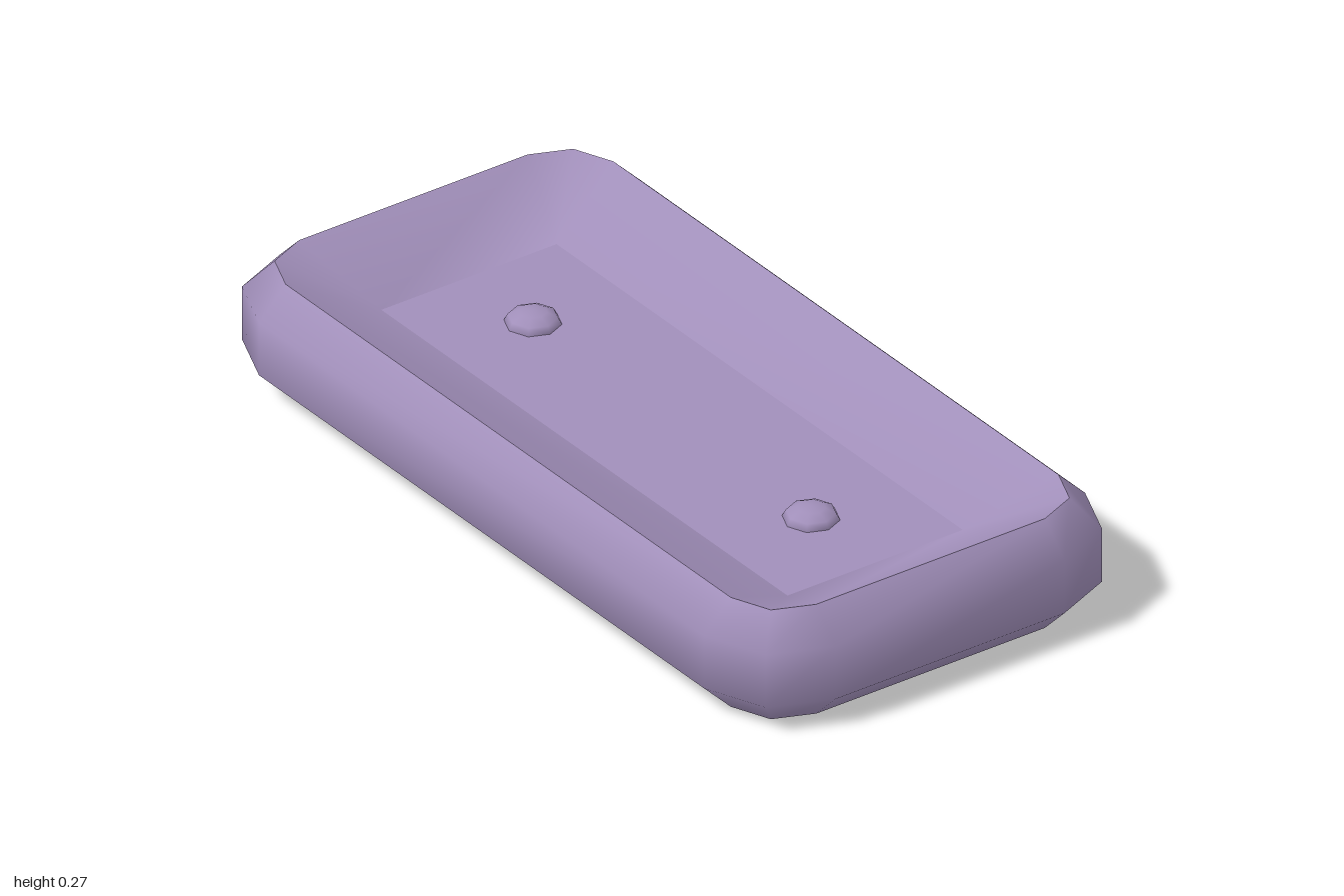
import * as THREE from 'three';
import { mergeVertices } from 'three/addons/utils/BufferGeometryUtils.js';

// Rounded-rectangle outline: corner centres at (cx, cz), two facets per corner
function outline(cx, cz, r) {
  const pts = [];
  for (let q = 0; q < 4; q++) {
    const sx = q === 0 || q === 3 ? 1 : -1;
    const sz = q < 2 ? 1 : -1;
    for (let k = 0; k <= 2; k++) {
      const a = (q * 2 + k) * Math.PI / 4;
      pts.push([sx * cx + r * Math.cos(a), sz * cz + r * Math.sin(a)]);
    }
  }
  return pts;
}

// Smooth skin through a stack of outlines, each { y, pts }
function skin(rings) {
  const n = rings[0].pts.length;
  const pos = [];
  const index = [];
  for (const { y, pts } of rings) for (const [x, z] of pts) pos.push(x, y, z);
  for (let j = 0; j < rings.length - 1; j++) {
    for (let i = 0; i < n; i++) {
      const a = j * n + i;
      const b = j * n + (i + 1) % n;
      index.push(a, a + n, b, b, a + n, b + n);
    }
  }
  let g = new THREE.BufferGeometry();
  g.setAttribute('position', new THREE.Float32BufferAttribute(pos, 3));
  g.setIndex(index);
  g = mergeVertices(g, 1e-4);
  g.computeVertexNormals();
  return g;
}

export function createModel() {
  const group = new THREE.Group();
  const mauve = new THREE.MeshStandardMaterial({ name: 'mauve', color: 0xa18fba });

  const add = (name, geometry, x = 0, y = 0, z = 0) => {
    const mesh = new THREE.Mesh(geometry, mauve);
    mesh.name = name;
    mesh.position.set(x, y, z);
    group.add(mesh);
    return mesh;
  };

  const rim = outline(0.3, 0.8, 0.13);
  const side = outline(0.3, 0.8, 0.2);
  const floorY = 0.17;

  // Outer shell with bevelled lower and upper edges
  add('outerShell', skin([
    { y: 0, pts: rim },
    { y: 0.07, pts: side },
    { y: 0.2, pts: side },
    { y: 0.27, pts: rim },
  ]));

  // Sloping inner walls, from the rim down to the square-cornered floor
  add('innerWalls', skin([
    { y: 0.27, pts: rim },
    { y: floorY, pts: outline(0.23, 0.73, 0) },
  ]));

  // Flat floor and underside
  add('floor', new THREE.PlaneGeometry(0.46, 1.46).rotateX(-Math.PI / 2), 0, floorY, 0);
  const base = new THREE.Shape(rim.map(([x, z]) => new THREE.Vector2(x, z)));
  add('underside', new THREE.ShapeGeometry(base).rotateX(Math.PI / 2));

  // Two flattened studs on the floor
  for (const s of [1, -1]) {
    const stud = add(s > 0 ? 'frontStud' : 'backStud', new THREE.SphereGeometry(0.0625, 8, 6), 0, floorY, s * 0.5);
    stud.scale.y = 0.5;
  }
  return group;
}
